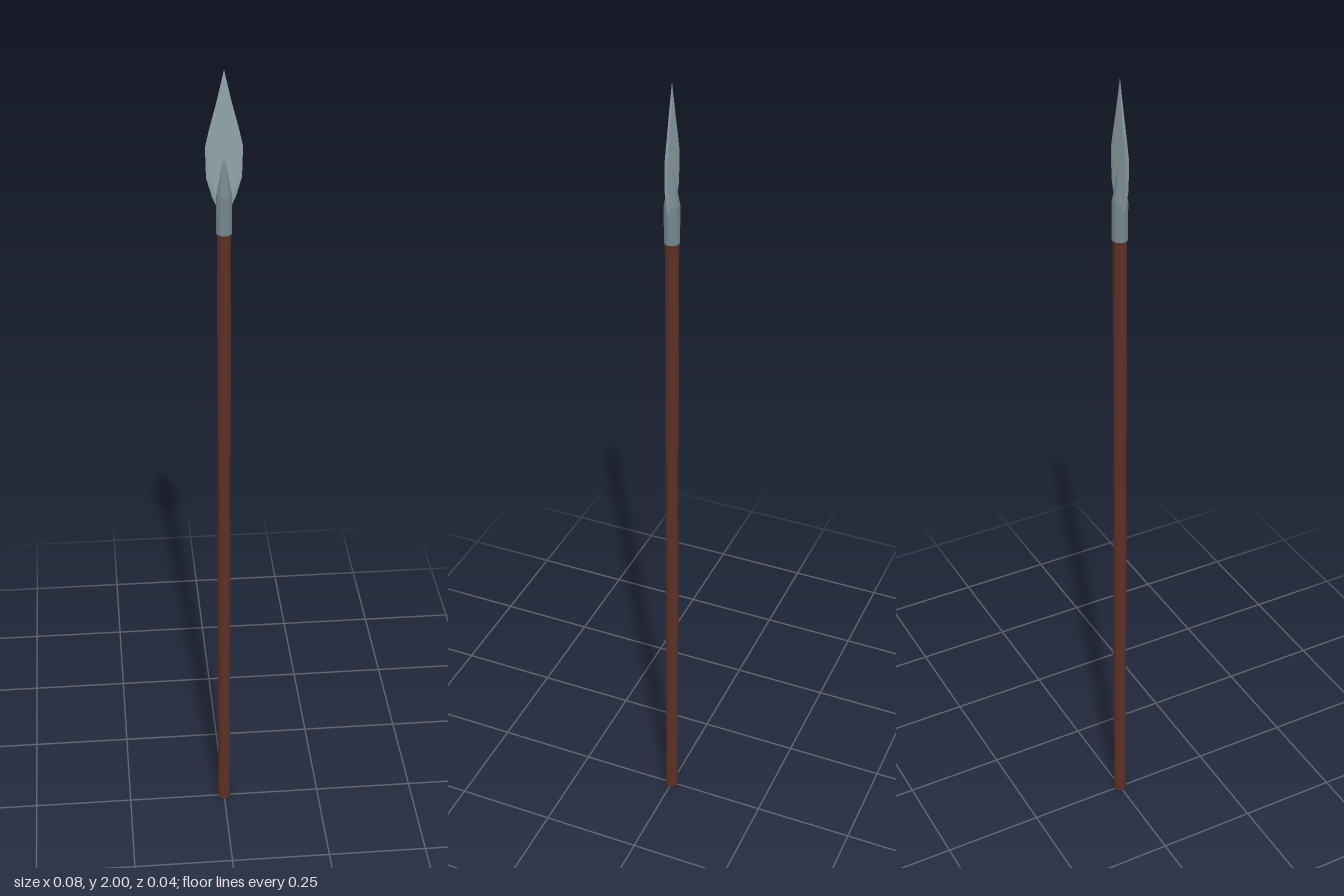
import * as THREE from 'three';

const material = (color) => new THREE.MeshStandardMaterial({ color, flatShading: true });

function addPart(group, name, geometry, mat) {
  const mesh = new THREE.Mesh(geometry, mat);
  mesh.name = name;
  group.add(mesh);
}

// Blade lofted from bevelled hexagonal sections: [height, half width, half thickness]
function bladeGeometry() {
  const rows = [
    [1.68, 0.010, 0.003], [1.715, 0.026, 0.003], [1.76, 0.039, 0.003],
    [1.83, 0.041, 0.003], [1.87, 0.032, 0.003], [1.93, 0.016, 0.0025], [2.0, 0, 0],
  ];
  const section = [[1, 0], [0.72, 1], [-0.72, 1], [-1, 0], [-0.72, -1], [0.72, -1]];
  const n = section.length;
  const positions = [];
  const index = [];
  for (const [y, w, t] of rows) {
    for (const [sx, sz] of section) positions.push(sx * w, y, sz * t);
  }
  for (let r = 0; r < rows.length - 1; r++) {
    for (let i = 0; i < n; i++) {
      const a = r * n + i;
      const b = r * n + (i + 1) % n;
      index.push(a, a + n, b);
      if (r < rows.length - 2) index.push(b, a + n, b + n);
    }
  }
  // close the lower end
  for (let i = 1; i < n - 1; i++) index.push(0, i, i + 1);
  const geometry = new THREE.BufferGeometry();
  geometry.setAttribute('position', new THREE.Float32BufferAttribute(positions, 3));
  geometry.setIndex(index);
  geometry.computeVertexNormals();
  return geometry;
}

export function createModel() {
  const spear = new THREE.Group();
  spear.name = 'spear';

  // Long wooden shaft
  const shaft = new THREE.CylinderGeometry(0.016, 0.016, 1.64, 12);
  shaft.translate(0, 0.82, 0);
  addPart(spear, 'shaft', shaft, material(0x5a3026));

  // Metal socket: straight sleeve tapering to a point along the blade
  const profile = [[0, 1.63], [0.018, 1.63], [0.018, 1.72], [0.009, 1.77], [0, 1.815]];
  const socket = new THREE.LatheGeometry(profile.map(([r, y]) => new THREE.Vector2(r, y)), 12);
  addPart(spear, 'socket', socket, material(0x74868b));

  // Leaf-shaped blade
  addPart(spear, 'blade', bladeGeometry(), material(0x8fa2a7));

  return spear;
}
